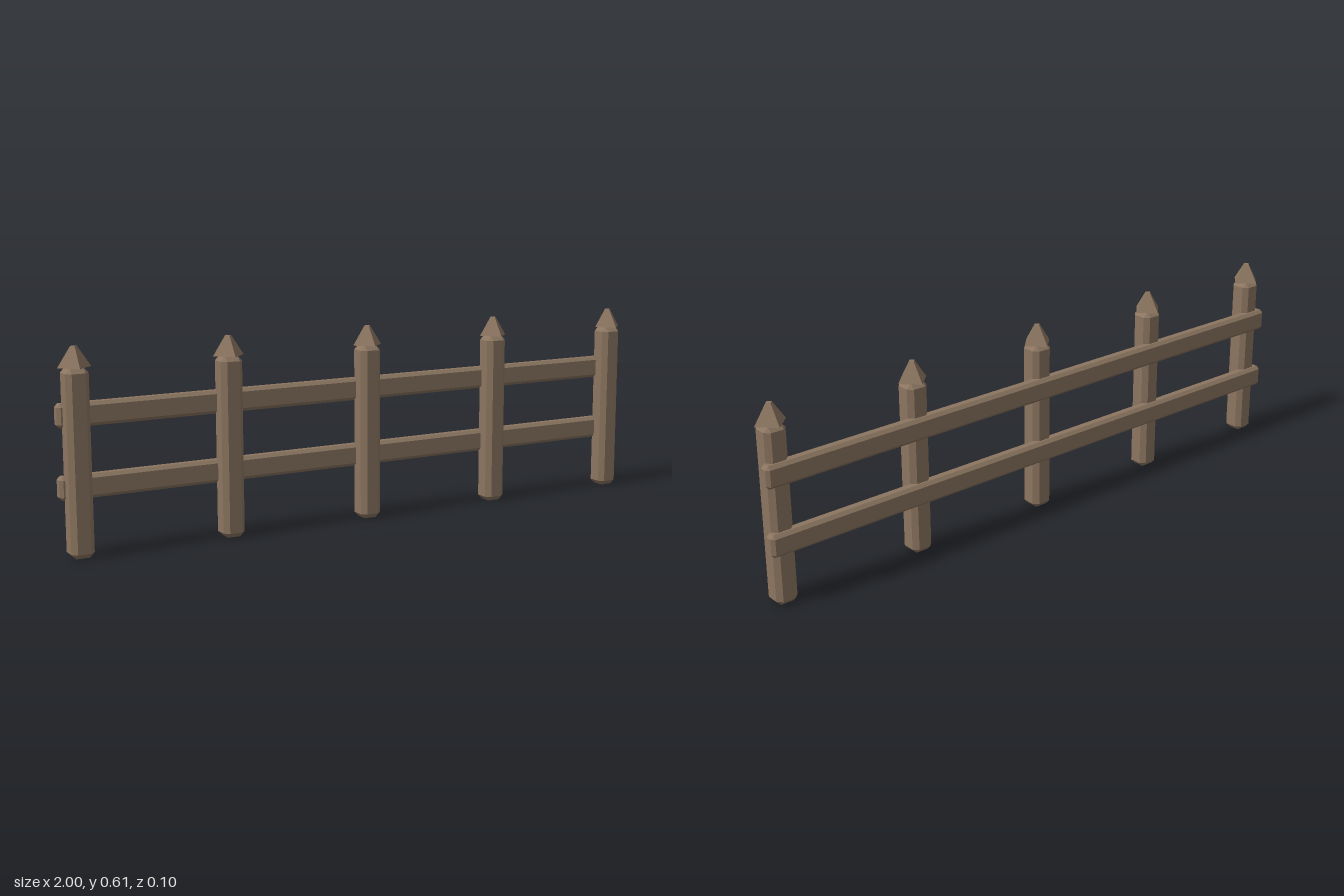
import * as THREE from 'three';
import { ConvexGeometry } from 'three/addons/geometries/ConvexGeometry.js';

// Box with every edge and corner chamfered by c
function chamferedBox(w, h, d, c) {
  const half = [w / 2, h / 2, d / 2];
  const points = [];
  for (const sx of [-1, 1]) for (const sy of [-1, 1]) for (const sz of [-1, 1]) {
    // Each corner becomes three points, one on each face
    for (let face = 0; face < 3; face++) {
      const p = half.map((v, i) => (i === face ? v : v - c));
      points.push(new THREE.Vector3(p[0] * sx, p[1] * sy, p[2] * sz));
    }
  }
  return new ConvexGeometry(points);
}

export function createModel() {
  const fence = new THREE.Group();
  fence.name = 'fence';

  const wood = new THREE.MeshStandardMaterial({ color: 0x8b7560, flatShading: true });
  wood.name = 'weathered wood';

  const add = (parent, name, geometry, x, y, z) => {
    const mesh = new THREE.Mesh(geometry, wood);
    mesh.name = name;
    mesh.position.set(x, y, z);
    parent.add(mesh);
  };

  // Five posts, each with a blunt four-sided cap set cornerwise
  const postGeometry = chamferedBox(0.07, 0.55, 0.07, 0.015);
  const capGeometry = new THREE.CylinderGeometry(0.01, 0.05, 0.06, 4);
  for (let i = 0; i < 5; i++) {
    const post = new THREE.Group();
    post.name = `fencePost${i + 1}`;
    post.position.x = (i - 2) * 0.475;
    add(post, 'post', postGeometry, 0, 0.275, 0);
    add(post, 'postCap', capGeometry, 0, 0.58, 0);
    fence.add(post);
  }

  // Two rails along the back of the posts
  const railGeometry = chamferedBox(2, 0.07, 0.04, 0.01);
  add(fence, 'lowerRail', railGeometry, 0, 0.2, -0.03);
  add(fence, 'upperRail', railGeometry, 0, 0.41, -0.03);

  return fence;
}
